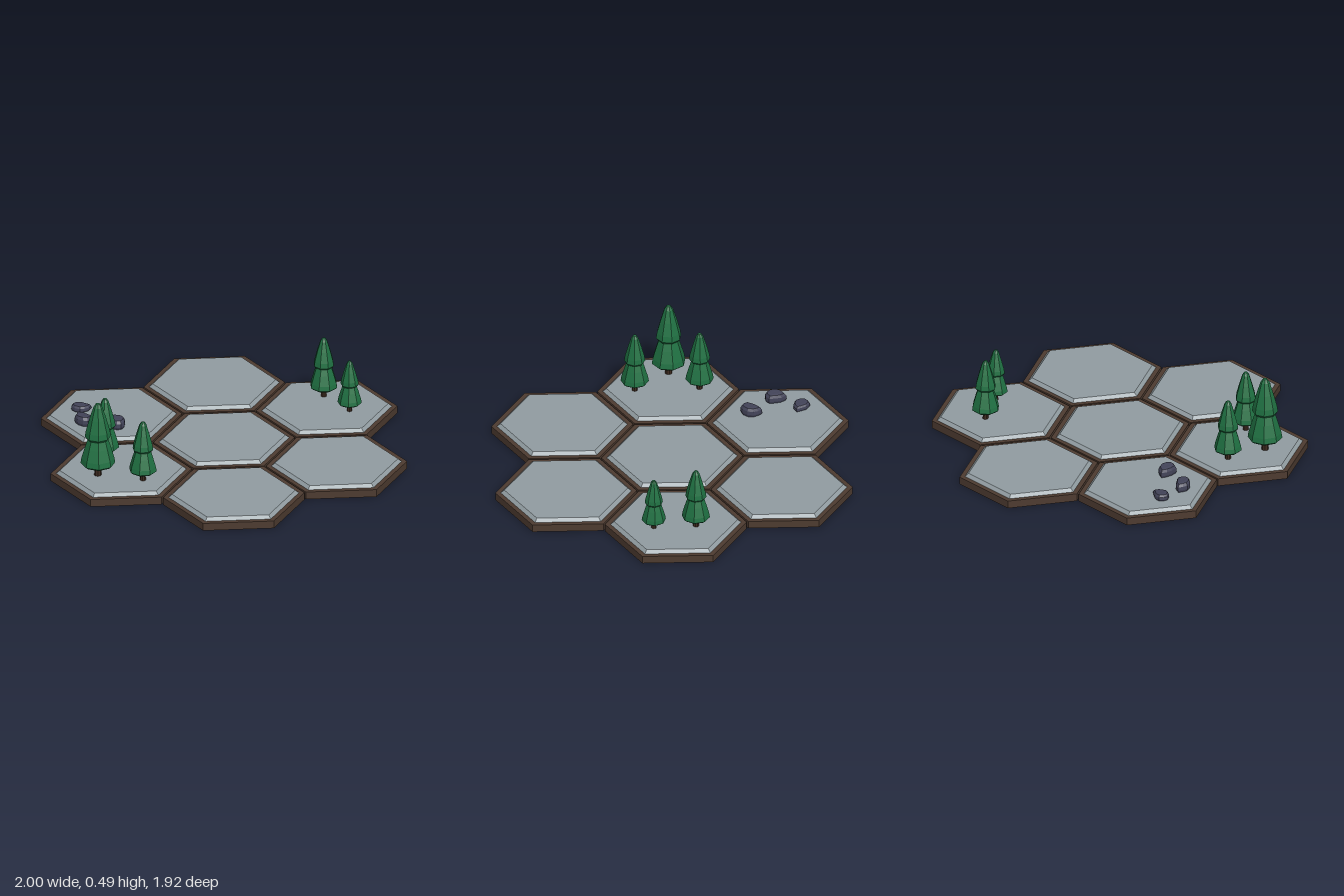
import * as THREE from 'three';

const mat = (color, flatShading = true) => new THREE.MeshStandardMaterial({ color, flatShading });
const brown = mat(0x4d3b30), stone = mat(0x919ca1), bark = mat(0x3d2a1f);
const green = mat(0x1f7042), slate = mat(0x424358);

const SPACING = 0.67, ROW = SPACING * Math.sqrt(3) / 2;
const RADIUS = 0.381, RIM = 0.043, GROUND = 0.06;

function part(name, geometry, material, y = 0) {
  const m = new THREE.Mesh(geometry, material);
  m.name = name;
  m.position.y = y;
  return m;
}

// Hexagonal tile: dark base with a bevelled stone slab on top
function tile(x, z) {
  const g = new THREE.Group();
  g.name = 'hexTile';
  g.add(part('tileBase', new THREE.CylinderGeometry(RADIUS, RADIUS, RIM, 6), brown, RIM / 2));
  const h = GROUND - RIM;
  g.add(part('tileSlab', new THREE.CylinderGeometry(0.332, 0.352, h, 6), stone, RIM + h / 2));
  g.position.set(x, 0, z);
  return g;
}

// Two-tier conifer, eight-sided
function tree(x, z, scale, turn) {
  const g = new THREE.Group();
  g.name = 'tree';
  g.add(part('trunk', new THREE.CylinderGeometry(0.014, 0.016, 0.07, 8), bark, 0.033));
  const profile = [
    [0, 0.052], [0.064, 0.05], [0.076, 0.06], [0.072, 0.085], [0.056, 0.14], [0.043, 0.18],
    [0.05, 0.178], [0.057, 0.188], [0.053, 0.215], [0.037, 0.275], [0.02, 0.33], [0.01, 0.346], [0, 0.35],
  ].map(([r, y]) => new THREE.Vector2(r, y));
  g.add(part('foliage', new THREE.LatheGeometry(profile, 8), green));
  g.position.set(x, GROUND, z);
  g.rotation.y = turn;
  g.scale.setScalar(scale);
  return g;
}

// Low lumpy boulder: a lathe squashed and made uneven around its axis
function rock(x, z, length, width, height, turn, seed) {
  const profile = [[0, -0.05], [0.88, -0.05], [1, 0.25], [0.97, 0.65], [0.78, 0.95], [0.4, 1], [0, 0.98]]
    .map(([r, y]) => new THREE.Vector2(r, y));
  const geo = new THREE.LatheGeometry(profile, 10);
  const p = geo.attributes.position;
  for (let i = 0; i < p.count; i++) {
    const a = Math.atan2(p.getZ(i), p.getX(i));
    const k = 1 + 0.09 * Math.cos(3 * a + seed) + 0.07 * Math.cos(4 * a + seed * 2);
    const tilt = 1 - 0.08 * Math.cos(a + seed) * Math.hypot(p.getX(i), p.getZ(i));
    p.setXYZ(i, p.getX(i) * k * length / 2, p.getY(i) * height * tilt, p.getZ(i) * k * width / 2);
  }
  geo.computeVertexNormals();
  const m = part('rock', geo, slate);
  m.position.set(x, GROUND, z);
  m.rotation.y = turn;
  return m;
}

export function createModel() {
  const model = new THREE.Group();
  model.name = 'hexTerrain';

  // Centre tile ringed by six neighbours
  model.add(tile(0, 0));
  for (const side of [-1, 1]) {
    model.add(tile(side * SPACING, 0));
    for (const row of [-1, 1]) model.add(tile(side * SPACING / 2, row * ROW));
  }

  // Trees: x, z, scale, turn
  for (const t of [
    [0.27, -0.68, 1, 0.1], [0.473, -0.577, 0.86, 0.35],
    [-0.476, 0.487, 1, 0.3], [-0.415, 0.705, 1.23, 0.5], [-0.17, 0.655, 1, 0.2],
  ]) model.add(tree(...t));

  // Rocks: x, z, length, width, height, turn, seed
  for (const r of [
    [-0.838, 0.035, 0.105, 0.08, 0.034, 0.35, 0.5],
    [-0.757, 0.172, 0.115, 0.08, 0.05, -0.4, 2.1],
    [-0.575, 0.127, 0.115, 0.08, 0.05, -0.95, 4.0],
  ]) model.add(rock(...r));

  return model;
}
